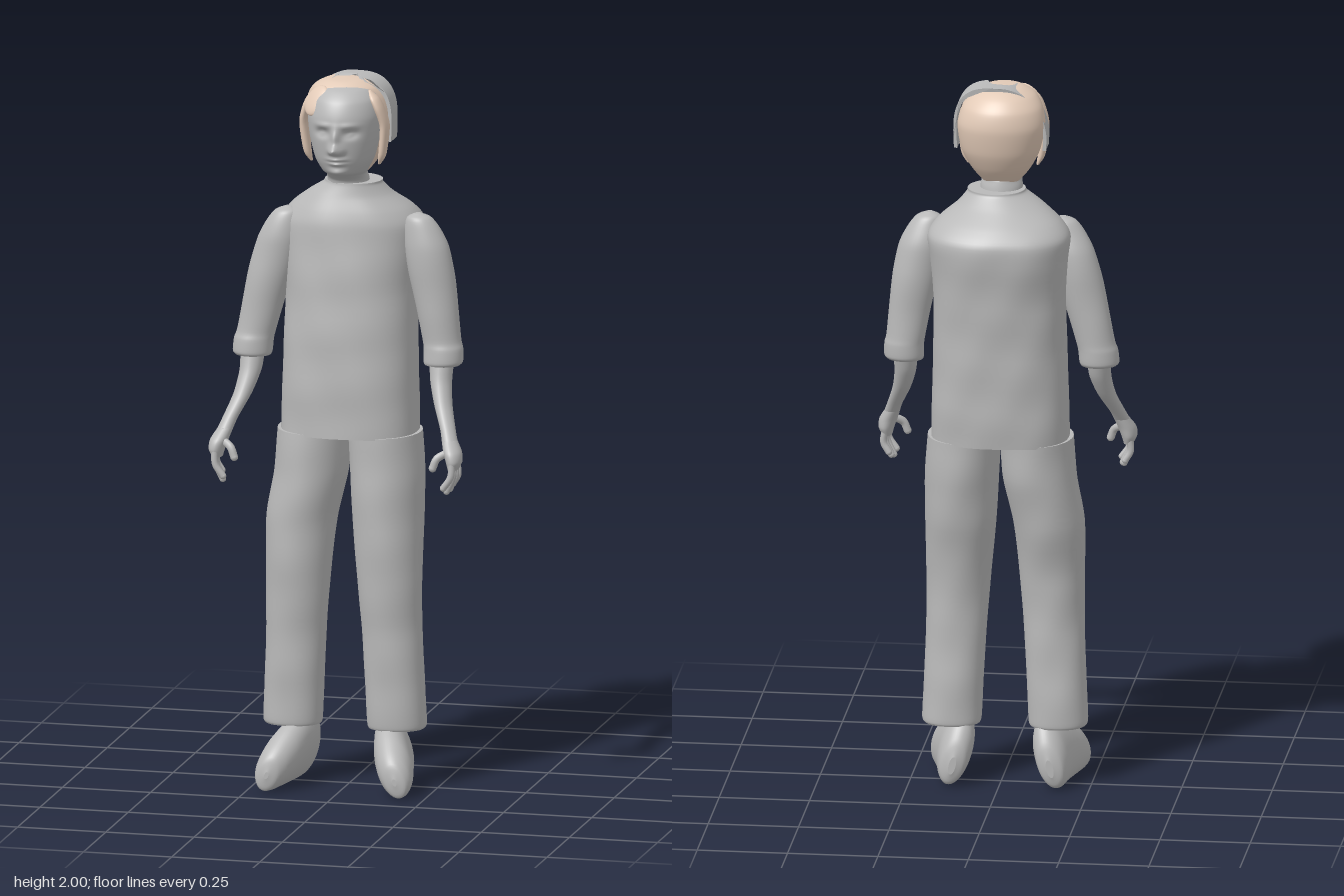
import * as THREE from 'three';

const grey = new THREE.MeshStandardMaterial({ color: 0xb9b9b9 });
grey.name = 'plain grey';
const tan = new THREE.MeshStandardMaterial({ color: 0xe3cbb8 });
tan.name = 'pale tan hair';

// Smooth closed skin through upright cross-sections [y, cx, cz, rx, rz, squareness = 2]
function loft(rings, steps = 30, sides = 36) {
  const spline = f => new THREE.CatmullRomCurve3(rings.map(f), false, 'catmullrom', 0.4);
  const mid = spline(r => new THREE.Vector3(r[1], r[0], r[2]));
  const rad = spline(r => new THREE.Vector3(r[3], r[5] ?? 2, r[4]));
  const pos = [], index = [];
  const round = (v, p) => Math.sign(v) * Math.abs(v) ** (2 / p);
  for (let i = 0; i <= steps; i++) {
    const c = mid.getPoint(i / steps), r = rad.getPoint(i / steps);
    for (let j = 0; j < sides; j++) {
      const a = j / sides * Math.PI * 2;
      pos.push(c.x + r.x * round(Math.cos(a), r.y), c.y, c.z + r.z * round(Math.sin(a), r.y));
      const k = (j + 1) % sides, n = i * sides;
      if (i < steps) index.push(n + j, n + sides + j, n + k, n + k, n + sides + j, n + sides + k);
    }
  }
  // End caps have their own corners, so their edges stay sharp
  for (const end of [0, steps]) {
    const start = pos.length / 3, c = mid.getPoint(end / steps);
    for (let j = 0; j < sides; j++) {
      const o = (end * sides + j) * 3;
      pos.push(pos[o], pos[o + 1], pos[o + 2]);
    }
    pos.push(c.x, c.y, c.z);
    for (let j = 0; j < sides; j++) {
      const k = start + (j + 1) % sides;
      if (end) index.push(start + sides, k, start + j);
      else index.push(start + sides, start + j, k);
    }
  }
  const g = new THREE.BufferGeometry();
  g.setAttribute('position', new THREE.Float32BufferAttribute(pos, 3));
  g.setIndex(index);
  g.computeVertexNormals();
  return g;
}

// Move every vertex by a rule
function reshape(g, rule) {
  const p = g.attributes.position, v = new THREE.Vector3();
  for (let i = 0; i < p.count; i++) {
    v.fromBufferAttribute(p, i);
    rule(v);
    p.setXYZ(i, v.x, v.y, v.z);
  }
  g.computeVertexNormals();
  return g;
}

// Gentle cloth folds
const folds = amount => v => {
  v.z += amount * Math.sin(v.y * 31 + v.x * 17) * Math.cos(v.x * 23 - v.y * 9);
};

export function createModel() {
  const model = new THREE.Group();
  const add = (name, geometry, material = grey, parent = model) => {
    const m = new THREE.Mesh(geometry, material);
    m.name = name;
    parent.add(m);
    return m;
  };

  add('tunic', reshape(loft([
    [0.995, 0, -0.012, 0.19, 0.138, 2.5], [1.1, 0, -0.015, 0.188, 0.143, 2.5],
    [1.25, 0, -0.02, 0.184, 0.146, 2.4], [1.4, 0, -0.03, 0.182, 0.148, 2.3],
    [1.52, 0, -0.042, 0.19, 0.152, 2.3], [1.585, 0, -0.047, 0.196, 0.15, 2.2],
    [1.625, 0, -0.036, 0.17, 0.13, 2.1], [1.665, 0, -0.016, 0.12, 0.098],
    [1.695, 0.01, -0.003, 0.084, 0.077], [1.705, 0.012, -0.002, 0.08, 0.074],
  ], 50, 56), folds(0.0025)));

  // Head with the face pushed out of a smooth egg: [x, y, width, height, depth]
  const bumps = [
    [0, 1.818, 0.016, 0.015, 0.036], [0, 1.85, 0.011, 0.026, 0.018],
    [0.014, 1.812, 0.009, 0.008, 0.01], [0.04, 1.862, 0.019, 0.012, -0.014],
    [0.04, 1.86, 0.01, 0.006, 0.006], [0.035, 1.885, 0.025, 0.008, 0.005],
    [0, 1.788, 0.022, 0.006, 0.012], [0, 1.775, 0.019, 0.006, 0.01],
    [0, 1.7815, 0.024, 0.002, -0.005], [0, 1.748, 0.025, 0.012, 0.012],
  ];
  add('head', reshape(loft([
    [1.66, 0, 0.005, 0.062, 0.058], [1.71, 0, 0.012, 0.058, 0.058],
    [1.73, 0, 0.028, 0.056, 0.07], [1.745, 0, 0.044, 0.064, 0.082],
    [1.78, 0, 0.048, 0.082, 0.096], [1.84, 0, 0.046, 0.097, 0.11],
    [1.9, 0, 0.042, 0.103, 0.119], [1.945, 0, 0.035, 0.095, 0.11],
    [1.972, 0, 0.03, 0.074, 0.085], [1.986, 0, 0.026, 0.042, 0.05], [1.99, 0, 0.025, 0.006, 0.006],
  ], 130, 120), v => {
    if (v.z < 0.07 || v.y < 1.725) return;
    const blend = Math.min(1, (v.z - 0.07) / 0.03), x = v.x;
    for (const [bx, by, sx, sy, depth] of bumps) {
      for (const s of bx ? [-1, 1] : [1]) {
        v.z += blend * depth * Math.exp(-(((x - s * bx) / sx) ** 2) - ((v.y - by) / sy) ** 2);
      }
    }
  }));

  // Hair covers the back and crown, with locks beside the face
  add('hair', loft([
    [1.715, 0, 0.0, 0.035, 0.024], [1.735, 0, 0.0, 0.058, 0.042], [1.77, 0, -0.002, 0.085, 0.068],
    [1.82, 0, -0.008, 0.109, 0.088], [1.89, -0.002, -0.012, 0.121, 0.1],
    [1.94, -0.004, -0.003, 0.111, 0.102], [1.972, -0.005, 0.012, 0.088, 0.092],
    [1.99, -0.005, 0.014, 0.052, 0.06], [1.995, -0.005, 0.014, 0.006, 0.006],
  ], 50, 56), tan);
  for (const s of [-1, 1]) {
    add('sideLock', loft([
      [1.76, s * 0.096, 0.045, 0.004, 0.006], [1.79, s * 0.106, 0.05, 0.011, 0.018],
      [1.87, s * 0.114, 0.055, 0.013, 0.026], [1.92, s * 0.101, 0.064, 0.014, 0.03],
      [1.95, s * 0.087, 0.067, 0.013, 0.024], [1.97, s * 0.073, 0.062, 0.004, 0.006],
    ], 24, 20), tan);
  }
  // Swept lock lying flat on one side of the forehead
  const fringe = add('fringe', new THREE.SphereGeometry(1, 32, 20), tan);
  fringe.scale.set(0.04, 0.046, 0.014);
  fringe.position.set(-0.068, 1.941, 0.098);
  fringe.lookAt(-0.6, 2.5, 0.8);

  // Flat band arching over the head from ear to ear, cut back over the crown
  const outline = new THREE.Shape();
  outline.absarc(0, 0, 0.129, 0, Math.PI, false);
  outline.lineTo(-0.127, -0.03);
  outline.lineTo(-0.118, -0.03);
  outline.lineTo(-0.12, 0);
  outline.absarc(0, 0, 0.12, Math.PI, 0, true);
  outline.lineTo(0.118, -0.03);
  outline.lineTo(0.127, -0.03);
  add('headband', reshape(
    new THREE.ExtrudeGeometry(outline, { depth: 0.068, bevelEnabled: false, curveSegments: 72 }),
    v => {
      const up = Math.max(0, v.y), front = v.z > 0.03;
      const notch = up ? Math.sqrt(Math.max(0, 1 - (v.x / 0.038) ** 2)) : 0;
      v.z = front ? 0.038 - 0.048 * notch : -0.03 - 0.016 * (up / 0.129) ** 2;
      const bulge = v.x > 0 ? 1 + 0.13 * Math.sin(2 * Math.atan2(up, v.x)) ** 2 : 1;
      v.x *= bulge;
      v.y = 1.852 + (up ? up * 1.147 * bulge : v.y);
    }));

  for (const s of [-1, 1]) {
    const side = s > 0 ? 'left' : 'right';
    const lean = y => 0.016 * THREE.MathUtils.clamp((y - 1.2) / 0.35, 0, 1);

    // Arm: sleeve, bare forearm, hand
    const arm = new THREE.Group();
    arm.name = side + 'Arm';
    model.add(arm);
    const limb = rows => rows.map(([y, x, ...r]) => [y, s * x + lean(y), ...r]);
    add('sleeve', reshape(loft(limb([
      [1.2, 0.268, 0.02, 0.05, 0.046], [1.21, 0.27, 0.018, 0.055, 0.053],
      [1.245, 0.268, 0.016, 0.055, 0.053], [1.27, 0.262, 0.014, 0.054, 0.05],
      [1.35, 0.247, 0.014, 0.058, 0.052], [1.45, 0.226, 0.014, 0.064, 0.056],
      [1.53, 0.208, 0.016, 0.062, 0.054], [1.58, 0.195, 0.019, 0.05, 0.043],
      [1.61, 0.187, 0.02, 0.034, 0.032], [1.622, 0.184, 0.02, 0.01, 0.01],
    ]), 40, 36), folds(0.0015)), grey, arm);
    add('forearm', loft([
      [1.0, s * 0.322, 0.142, 0.022, 0.026], [1.04, s * 0.308, 0.115, 0.021, 0.027],
      [1.1, s * 0.284, 0.072, 0.025, 0.032], [1.16, s * 0.27, 0.04, 0.03, 0.036],
      [1.215, s * 0.268, 0.022, 0.034, 0.038],
    ], 20, 24), grey, arm);
    add('palm', loft([
      [0.938, s * 0.334, 0.157, 0.014, 0.03], [0.96, s * 0.336, 0.155, 0.022, 0.038],
      [0.985, s * 0.33, 0.15, 0.025, 0.037], [1.015, s * 0.317, 0.133, 0.021, 0.027],
    ], 16, 24), grey, arm);
    const digit = (name, points, radius) => {
      const pts = points.map(p => new THREE.Vector3(s * p[0], p[1], p[2]));
      add(name, new THREE.TubeGeometry(new THREE.CatmullRomCurve3(pts), 10, radius, 10), grey, arm);
      add(name + 'Tip', new THREE.SphereGeometry(radius, 10, 8).translate(...pts.at(-1)), grey, arm);
    };
    for (let i = 0; i < 4; i++) {
      const z = 0.132 + i * 0.017, tip = [0.892, 0.88, 0.876, 0.888][i];
      digit('finger', [[0.336, 0.96, z], [0.342 - i * 0.003, 0.92, z + 0.002],
        [0.327 - i * 0.005, tip, z]], 0.0095);
    }
    digit('thumb', [[0.32, 0.985, 0.16], [0.292, 0.968, 0.176], [0.281, 0.942, 0.18]], 0.011);

    // Trouser leg
    const shift = -0.01;
    add(side + 'TrouserLeg', reshape(loft([
      [0.168, s * 0.146 + shift, 0.008, 0.078, 0.07, 2.2], [0.185, s * 0.147 + shift, 0.008, 0.082, 0.074, 2.2],
      [0.3, s * 0.142 + shift, 0.012, 0.082, 0.077, 2.2], [0.45, s * 0.135 + shift, 0.017, 0.084, 0.08],
      [0.6, s * 0.129 + shift, 0.02, 0.09, 0.092], [0.75, s * 0.122 + shift, 0.006, 0.098, 0.112],
      [0.88, s * 0.108, -0.004, 0.102, 0.122], [1.0, s * 0.1, -0.01, 0.101, 0.124],
    ], 40, 40), folds(0.002)), grey);

    // Shoe: sections run from heel to toe, then are laid along z
    const shoe = [
      [-0.09, 0.132, 0.065, 0.01, 0.025], [-0.078, 0.133, 0.072, 0.034, 0.062],
      [-0.045, 0.135, 0.092, 0.046, 0.092], [0, 0.14, 0.098, 0.05, 0.098],
      [0.05, 0.15, 0.093, 0.052, 0.093], [0.1, 0.161, 0.079, 0.053, 0.079],
      [0.145, 0.17, 0.061, 0.045, 0.061], [0.168, 0.174, 0.05, 0.03, 0.045],
      [0.176, 0.175, 0.048, 0.006, 0.01],
    ].map(([z, x, y, rx, ry]) => [z, s * x + shift, -y, rx, ry]);
    add(side + 'Shoe', reshape(loft(shoe, 36, 36).rotateX(Math.PI / 2), v => {
      v.y = Math.max(0, v.y);
      // The sole sits further out than the ankle
      v.x += s * (0.08 - v.y) * 0.2;
    }));
  }

  return model;
}
